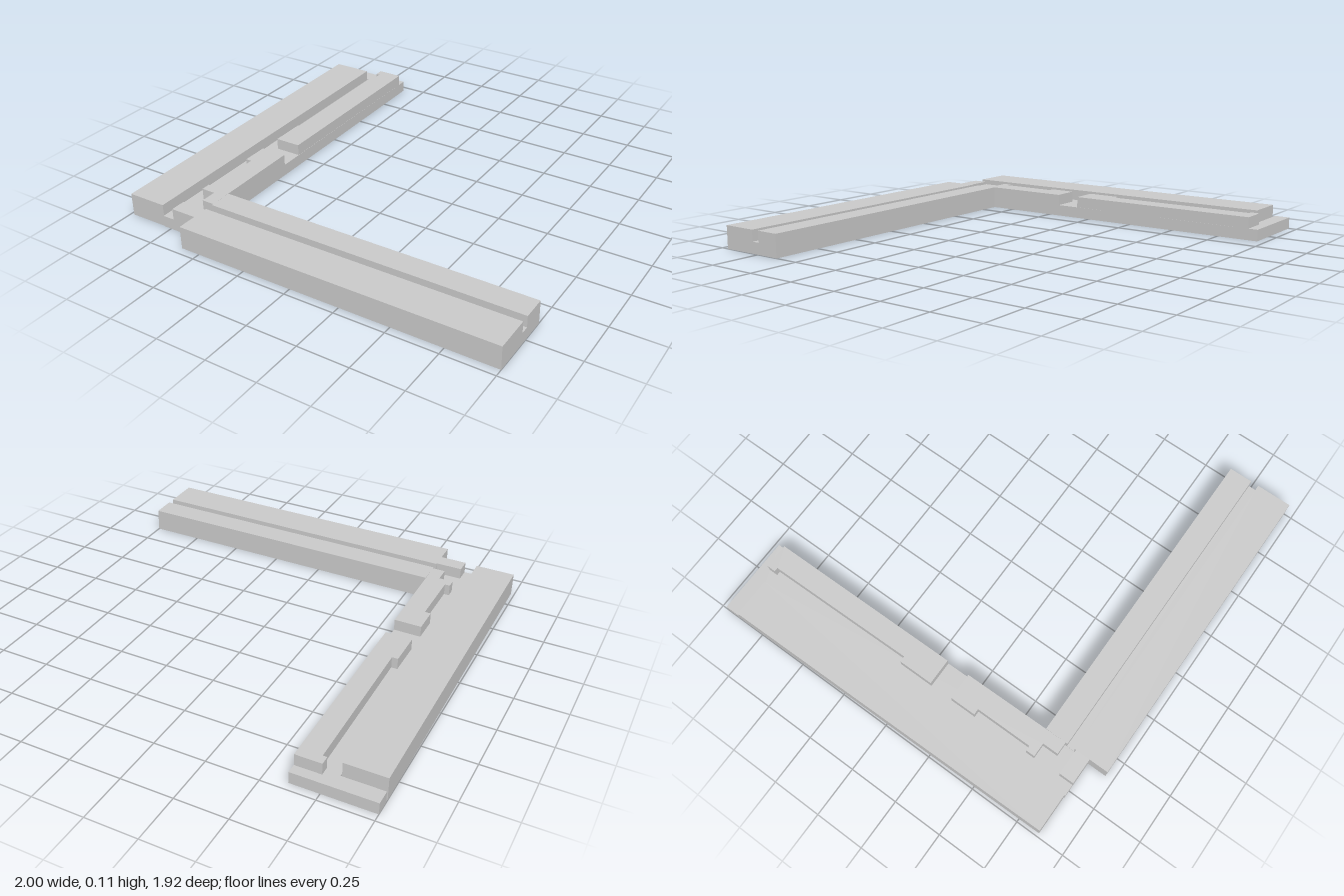
import * as THREE from 'three';

const TOP = 0.113, FLOOR = 0.057;

export function createModel() {
  const model = new THREE.Group();
  const material = new THREE.MeshStandardMaterial({ color: 0xcccccc, flatShading: true });

  // Upright slab from a plan outline of [x, z] corners, between two heights
  function slab(name, outline, bottom, top) {
    const shape = new THREE.Shape(outline.map(([x, z]) => new THREE.Vector2(x, -z)));
    const geometry = new THREE.ExtrudeGeometry(shape, { depth: top - bottom, bevelEnabled: false });
    geometry.rotateX(-Math.PI / 2);
    geometry.translate(0, bottom, 0);
    const mesh = new THREE.Mesh(geometry, material);
    mesh.name = name;
    model.add(mesh);
  }

  // Side arm: full-height outer block beside a half-height floor
  slab('outerBlock', [[-1, -0.87], [-0.803, -0.87], [-0.788, 0.86], [-0.983, 0.86]], 0, TOP);
  slab('sideFloor', [
    [-1, -0.96], [-0.61, -0.96], [-0.597, 0.863], [-0.788, 0.863], [-0.803, -0.885], [-1, -0.885],
  ], 0, FLOOR);

  // Raised inner rails, separated by a doorway gap
  slab('backRail', [
    [-0.61, -0.912], [-0.735, -0.912], [-0.735, -0.867], [-0.715, -0.867],
    [-0.706, -0.107], [-0.735, -0.107], [-0.735, 0.07], [-0.604, 0.07],
  ], FLOOR, TOP);
  slab('middleRail', [
    [-0.602, 0.188], [-0.735, 0.188], [-0.735, 0.32], [-0.705, 0.32], [-0.705, 0.607],
    [-0.73, 0.607], [-0.73, 0.652], [-0.66, 0.652], [-0.66, 0.732], [-0.597, 0.732],
  ], FLOOR, TOP);
  slab('cornerBlock', [[-0.597, 0.789], [-0.727, 0.789], [-0.727, 0.863], [-0.597, 0.863]], FLOOR, TOP);

  // Front arm: one grooved cross-section swept along x
  const section = new THREE.Shape([
    [-0.96, 0], [-0.624, 0], [-0.624, TOP], [-0.742, TOP],
    [-0.742, FLOOR], [-0.782, FLOOR], [-0.782, TOP], [-0.96, TOP],
  ].map(([z, y]) => new THREE.Vector2(z, y)));
  const armGeometry = new THREE.ExtrudeGeometry(section, { depth: 1.597, bevelEnabled: false });
  armGeometry.rotateY(Math.PI / 2);
  armGeometry.translate(-0.597, 0, 0);
  const arm = new THREE.Mesh(armGeometry, material);
  arm.name = 'frontArm';
  model.add(arm);

  return model;
}
